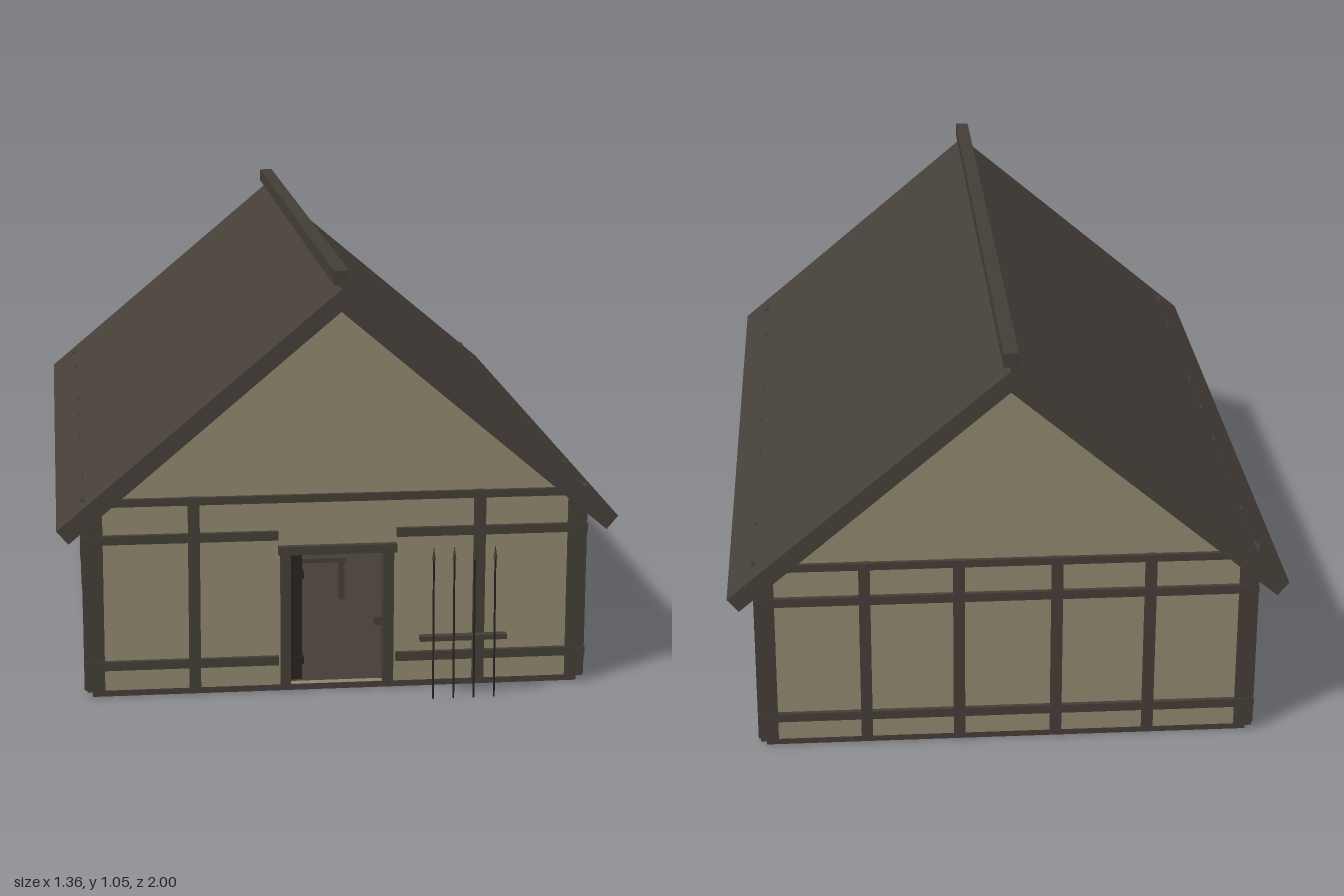
import * as THREE from 'three';

const mat = (name, color, side = THREE.FrontSide) => {
  const m = new THREE.MeshStandardMaterial({ color, side });
  m.name = name;
  return m;
};

export function createModel() {
  const plaster = mat('plaster', 0x8f866c);
  const timber = mat('timber', 0x433d36);
  const roofing = mat('roofing', 0x453f38);
  const flooring = mat('flooring', 0x463c37);
  const darkWood = mat('dark wood', 0x26221e);

  const house = new THREE.Group();
  house.name = 'house';
  const C = -0.025;              // middle of the hall along z
  const HX = 0.6, HZ = 0.91;     // outer half sizes of the walls
  const T = 0.02;                // wall thickness

  const add = (name, geo, material, x = 0, y = 0, z = 0, parent = house) => {
    const m = new THREE.Mesh(geo, material);
    m.name = name;
    m.position.set(x, y, z);
    parent.add(m);
    return m;
  };
  // box given by its lower and upper limits
  const box = (name, material, x0, x1, y0, y1, z0, z1, parent = house) =>
    add(name, new THREE.BoxGeometry(x1 - x0, y1 - y0, z1 - z0), material,
      (x0 + x1) / 2, (y0 + y1) / 2, (z0 + z1) / 2, parent);
  const polygon = (pts) => new THREE.Shape(pts.map(([x, y]) => new THREE.Vector2(x, y)));
  const extrude = (shape, depth) => new THREE.ExtrudeGeometry(shape, { depth, bevelEnabled: false });

  // floor slab
  box('floor', flooring, -HX, HX, 0, 0.015, C - HZ, C + HZ);

  // gable walls, the front one with the doorway
  const gable = () => polygon([[-HX, 0.015], [HX, 0.015], [HX, 0.48], [0, 0.98], [-HX, 0.48]]);
  const front = gable();
  front.holes.push(polygon([[-0.115, 0.016], [-0.115, 0.35], [0.115, 0.35], [0.115, 0.016]]));
  add('frontWall', extrude(front, T), plaster, 0, 0, C + HZ - T);
  add('backWall', extrude(gable(), T), plaster, 0, 0, C - HZ);

  // roof and floating ridge beam
  const roof = polygon([[0.68, 0.44], [0, 1.01], [-0.68, 0.44], [-0.652, 0.407], [0, 0.957], [0.652, 0.407]]);
  add('roof', extrude(roof, 1.95), roofing, 0, 0, -1);
  box('ridgeBeam', timber, -0.018, 0.018, 1.02, 1.055, -1, 0.95);

  // corner posts
  for (const sx of [-1, 1]) for (const sz of [-1, 1]) {
    const x = sx * 0.592, z = C + sz * 0.89;
    box('cornerPost', timber, x - 0.022, x + 0.022, 0.015, 0.5, z - 0.03, z + 0.03);
  }

  // long side walls
  for (const s of [-1, 1]) {
    const side = new THREE.Group();
    side.name = s > 0 ? 'leftSide' : 'rightSide';
    house.add(side);
    const strip = (name, material, d0, d1, y0, y1, z0, z1) =>
      box(name, material, Math.min(s * d0, s * d1), Math.max(s * d0, s * d1), y0, y1, z0, z1, side);

    strip('sideWall', plaster, HX - T, HX, 0.015, 0.48, C - HZ + T, C + HZ - T);
    for (const o of [-0.665, -0.22, 0, 0.22, 0.665])
      strip('sidePost', timber, HX - 0.01, HX + 0.015, 0.015, 0.5, C + o - 0.013, C + o + 0.013);
    for (const o of [-0.89, 0.89])
      strip('sidePost', timber, HX - 0.01, HX + 0.02, 0.015, 0.5, C + o - 0.015, C + o + 0.015);
    for (const y of [0.075, 0.397])
      strip('sideRail', timber, HX - 0.01, HX + 0.012, y - 0.011, y + 0.011, C - HZ, C + HZ);
    strip('wallPlate', timber, HX - 0.01, HX + 0.01, 0.478, 0.499, C - HZ, C + HZ);

    // diagonal braces, each rising towards the back
    for (const [za, zb] of [[0.85, 0.65], [0.19, -0.01], [-0.03, -0.235], [-0.695, -0.9]]) {
      const dy = 0.3, dz = zb - za;
      const brace = add('brace', new THREE.BoxGeometry(0.02, Math.hypot(dy, dz), 0.016), timber,
        s * HX, 0.236, (za + zb) / 2, side);
      brace.rotation.x = Math.atan2(dz, dy);
    }

    // shuttered windows with crossing bars
    for (const o of [-0.455, 0.455]) {
      const z = C + o;
      strip('windowPanel', timber, HX, HX + 0.005, 0.177, 0.3, z - 0.056, z + 0.056);
      strip('windowBar', timber, HX, HX + 0.012, 0.177, 0.3, z - 0.005, z + 0.005);
      strip('windowBar', timber, HX, HX + 0.012, 0.234, 0.243, z - 0.056, z + 0.056);
    }
  }

  // timber framing of the two gables
  const zf = C + HZ, zb = C - HZ;
  for (const x of [-0.35, 0.35])
    box('frontPost', timber, x - 0.014, x + 0.014, 0.015, 0.5, zf - 0.01, zf + 0.014);
  for (const x of [-0.35, -0.12, 0.12, 0.35])
    box('backPost', timber, x - 0.014, x + 0.014, 0.015, 0.5, zb - 0.014, zb + 0.01);
  for (const y of [0.08, 0.398]) {
    box('frontRail', timber, -0.618, -0.145, y - 0.011, y + 0.011, zf - 0.01, zf + 0.012);
    box('frontRail', timber, 0.145, 0.618, y - 0.011, y + 0.011, zf - 0.01, zf + 0.012);
    box('backRail', timber, -0.618, 0.618, y - 0.011, y + 0.011, zb - 0.012, zb + 0.01);
  }
  box('frontTie', timber, -0.6, 0.6, 0.48, 0.499, zf - 0.01, zf + 0.01);
  box('backTie', timber, -0.6, 0.6, 0.48, 0.499, zb - 0.01, zb + 0.01);

  // door frame, open leaf, hinges and latch
  box('doorJamb', timber, -0.14, -0.115, 0.015, 0.355, zf - 0.025, zf + 0.016);
  box('doorJamb', timber, 0.113, 0.138, 0.015, 0.355, zf - 0.025, zf + 0.016);
  box('doorLintel', timber, -0.145, 0.145, 0.35, 0.371, zf - 0.025, zf + 0.018);
  box('doorLeaf', darkWood, -0.113, -0.085, 0.02, 0.34, zf - 0.24, zf - 0.02);
  for (const y of [0.07, 0.29])
    box('hinge', darkWood, -0.115, -0.08, y - 0.008, y + 0.008, zf - 0.1, zf - 0.012);
  box('latch', timber, 0.092, 0.115, 0.16, 0.18, zf - 0.02, zf);

  // table inside
  box('tableTop', timber, -0.105, 0.105, 0.125, 0.137, C - 0.25, C + 0.25);
  for (const x of [-0.095, 0.095]) for (const z of [-0.23, 0.23])
    box('tableLeg', timber, x - 0.008, x + 0.008, 0.015, 0.125, C + z - 0.008, C + z + 0.008);

  // rack of spears beside the door
  const rack = new THREE.Group();
  rack.name = 'spearRack';
  house.add(rack);
  box('rackBar', timber, 0.19, 0.403, 0.149, 0.161, 0.97, 0.992, rack);
  for (const x of [0.222, 0.272, 0.322, 0.372]) {
    const spear = new THREE.Group();
    spear.name = 'spear';
    spear.position.set(x, 0.005, 0.997);
    spear.rotation.x = -0.036;
    rack.add(spear);
    add('shaft', new THREE.CylinderGeometry(0.0025, 0.0025, 0.35, 6), darkWood, 0, 0.175, 0, spear);
    add('spearHead', new THREE.ConeGeometry(0.005, 0.035, 6), timber, 0, 0.364, 0, spear);
  }
  return house;
}
